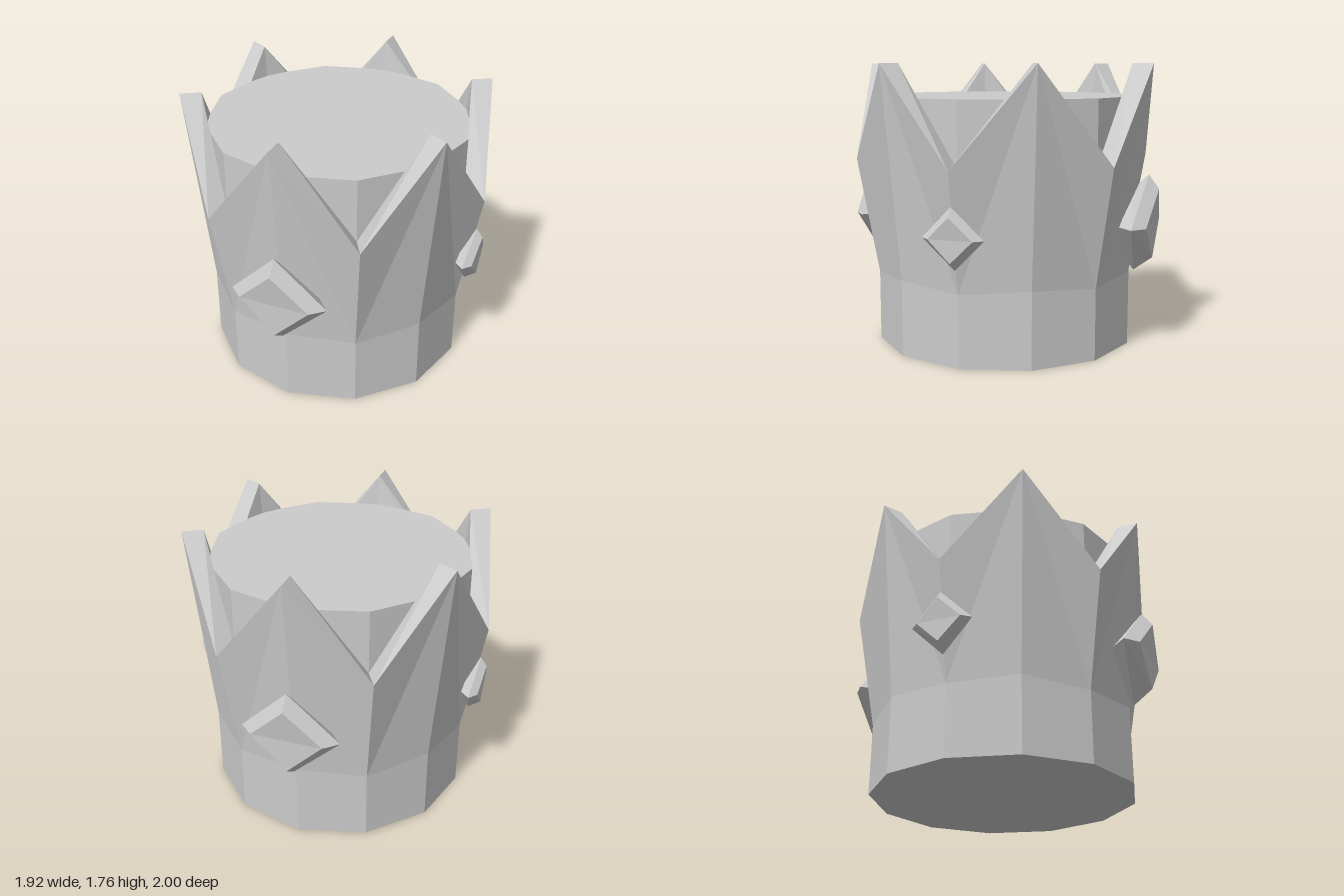
import * as THREE from 'three';

const material = new THREE.MeshStandardMaterial({ color: 0xcccccc, flatShading: true });

function mesh(name, geometry) {
  const m = new THREE.Mesh(geometry, material);
  m.name = name;
  return m;
}

// Flat-shaded geometry from a list of triangle corners
function fromCorners(corners) {
  const geometry = new THREE.BufferGeometry().setFromPoints(corners);
  geometry.computeVertexNormals();
  return geometry;
}

// Six-pointed band flaring outwards; even columns are tips, odd ones valleys
function bandGeometry() {
  const thickness = 0.13, base = 0.44, count = 12;
  const columns = [];
  for (let i = 0; i < count; i++) {
    const tip = i % 2 === 0;
    const a = (i / count) * Math.PI * 2;
    const top = tip ? 1.76 : 1.17;
    const foot = tip ? 0.817 : 0.82;
    const loop = [[foot, base], [0.95, top], [0.95 - thickness, top], [foot - thickness, base]];
    columns.push(loop.map(([r, y]) => new THREE.Vector3(r * Math.sin(a), y, r * Math.cos(a))));
  }
  const corners = [];
  for (let i = 0; i < count; i++) {
    const p = columns[i], q = columns[(i + 1) % count];
    for (let j = 0; j < 4; j++) {
      const k = (j + 1) % 4;
      const [a, b, c, d] = [p[j], q[j], q[k], p[k]];
      // Mirror the diagonal so both halves of a point match
      if (i % 2 === 0) corners.push(a, b, d, b, c, d);
      else corners.push(a, b, c, a, c, d);
    }
  }
  return fromCorners(corners);
}

// Cut diamond centred on its girdle, facing +z and leaning forward at the top
function gemGeometry() {
  // Half width, half height, then z of side, top and bottom corners
  const rings = [
    [0.22, 0.215, -0.09, -0.05, -0.12],
    [0.305, 0.3025, 0, 0.043, -0.043],
    [0.22, 0.215, 0.074, 0.1075, 0.075],
  ].map(([w, h, side, top, bottom]) => [
    new THREE.Vector3(w, 0, side), new THREE.Vector3(0, h, top),
    new THREE.Vector3(-w, 0, side), new THREE.Vector3(0, -h, bottom),
  ]);
  const corners = [];
  for (let r = 0; r < 2; r++) {
    for (let i = 0; i < 4; i++) {
      const k = (i + 1) % 4;
      const [a, b, c, d] = [rings[r][i], rings[r][k], rings[r + 1][k], rings[r + 1][i]];
      corners.push(a, b, c, a, c, d);
    }
  }
  const [back, , table] = rings;
  corners.push(table[0], table[1], table[2], table[0], table[2], table[3]);
  corners.push(back[2], back[1], back[0], back[3], back[2], back[0]);
  return fromCorners(corners);
}

export function createModel() {
  const group = new THREE.Group();
  group.name = 'crown';

  // Solid core
  const core = mesh('core', new THREE.CylinderGeometry(0.82, 0.82, 1.56, 12));
  core.position.y = 0.78;
  group.add(core);

  group.add(mesh('pointedBand', bandGeometry()));

  // Large gems front and back, small ones at the sides
  const gem = gemGeometry();
  ['frontGem', 'leftGem', 'backGem', 'rightGem'].forEach((name, i) => {
    const holder = new THREE.Group();
    holder.name = name;
    holder.rotation.y = (i * Math.PI) / 2;
    const stone = mesh(name + 'Stone', gem);
    stone.position.set(0, 0.782, 0.8925);
    stone.scale.setScalar(i % 2 === 0 ? 1 : 0.62);
    holder.add(stone);
    group.add(holder);
  });

  return group;
}
